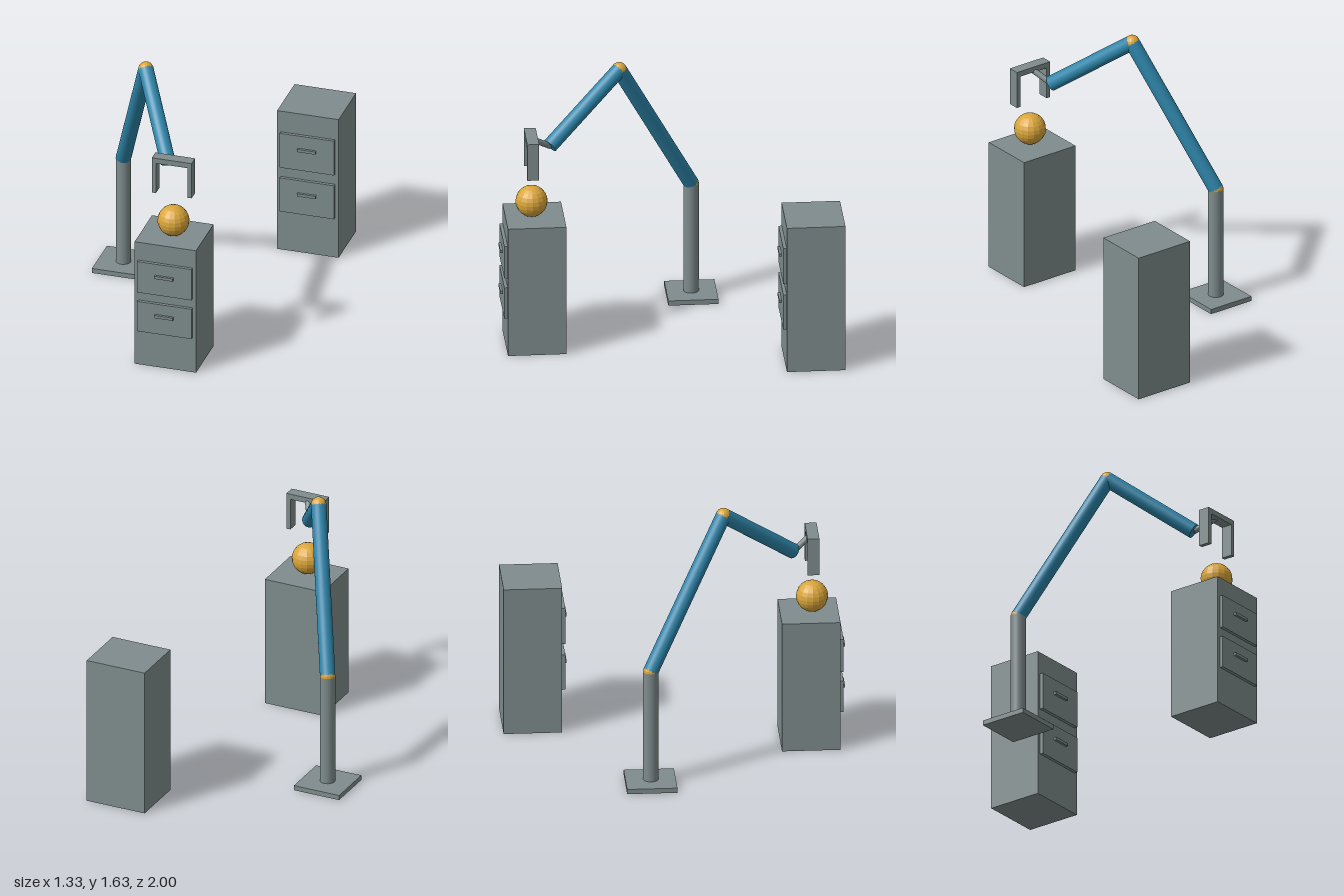
import * as THREE from 'three';

export function createModel() {
  const model = new THREE.Group();
  model.name = 'robotArmWorkcell';

  const mat = (name, color, flatShading = false) => {
    const m = new THREE.MeshStandardMaterial({ color, flatShading });
    m.name = name;
    return m;
  };
  const grey = mat('steelGrey', 0x7f8c8d);
  const blue = mat('armBlue', 0x2e86ab);
  const amber = mat('amber', 0xd9a53a, true);

  const add = (parent, name, geometry, material) => {
    const mesh = new THREE.Mesh(geometry, material);
    mesh.name = name;
    parent.add(mesh);
    return mesh;
  };
  // Box given by its minimum and maximum corners
  const box = (parent, name, [x0, y0, z0], [x1, y1, z1]) =>
    add(parent, name, new THREE.BoxGeometry(x1 - x0, y1 - y0, z1 - z0), grey)
      .position.set((x0 + x1) / 2, (y0 + y1) / 2, (z0 + z1) / 2);
  // Cylinder running between two points
  const rod = (parent, name, a, b, radius, material) => {
    const dir = b.clone().sub(a);
    const mesh = add(parent, name, new THREE.CylinderGeometry(radius, radius, dir.length(), 32), material);
    mesh.position.copy(a).add(b).multiplyScalar(0.5);
    mesh.quaternion.setFromUnitVectors(new THREE.Vector3(0, 1, 0), dir.normalize());
  };
  const ball = (parent, name, center, radius) =>
    add(parent, name, new THREE.SphereGeometry(radius, 16, 12), amber).position.copy(center);
  const group = (name) => {
    const g = new THREE.Group();
    g.name = name;
    model.add(g);
    return g;
  };

  // Cabinets: body, two drawer fronts, two handles
  const cabinet = (name, cx, front, height, drawers) => {
    const g = group(name);
    box(g, 'cabinetBody', [cx - 0.19, 0, front - 0.346], [cx + 0.19, height, front]);
    for (const [y0, y1, handleY] of drawers) {
      box(g, 'drawerFront', [cx - 0.168, y0, front], [cx + 0.168, y1, front + 0.02]);
      box(g, 'drawerHandle', [cx - 0.057, handleY - 0.009, front + 0.02], [cx + 0.057, handleY + 0.009, front + 0.035]);
    }
  };
  cabinet('frontCabinet', 0.1, 0.965, 0.815, [[0.231, 0.43, 0.352], [0.49, 0.696, 0.614]]);
  cabinet('rearCabinet', 0.475, -0.654, 0.924, [[0.264, 0.488, 0.398], [0.557, 0.786, 0.695]]);

  // Arm: base plate, column, two links and joints
  const shoulder = new THREE.Vector3(-0.518, 0.72, -0.187);
  const elbow = new THREE.Vector3(-0.239, 1.586, 0.262);
  const wrist = new THREE.Vector3(0.032, 1.23, 0.695);
  const hand = new THREE.Vector3(0.102, 1.307, 0.808);
  const arm = group('arm');
  box(arm, 'basePlate', [-0.667, 0, -0.337], [-0.37, 0.03, -0.04]);
  rod(arm, 'column', new THREE.Vector3(-0.518, 0.03, -0.187), shoulder, 0.0455, grey);
  ball(arm, 'shoulderJoint', shoulder, 0.046);
  rod(arm, 'upperArm', shoulder, elbow, 0.0455, blue);
  ball(arm, 'elbowJoint', elbow, 0.046);
  rod(arm, 'forearm', elbow, wrist, 0.0455, blue);
  rod(arm, 'wristRod', wrist, hand, 0.018, grey);

  // Gripper: crossbar with two fingers
  const gripper = group('gripper');
  box(gripper, 'gripperBar', [-0.021, 1.292, 0.775], [0.225, 1.326, 0.845]);
  for (const x of [-0.021, 0.199]) {
    box(gripper, 'gripperFinger', [x, 1.094, 0.775], [x + 0.026, 1.292, 0.845]);
  }

  // Ball resting on the front cabinet
  ball(model, 'ball', new THREE.Vector3(0.102, 0.911, 0.81), 0.095);

  return model;
}
